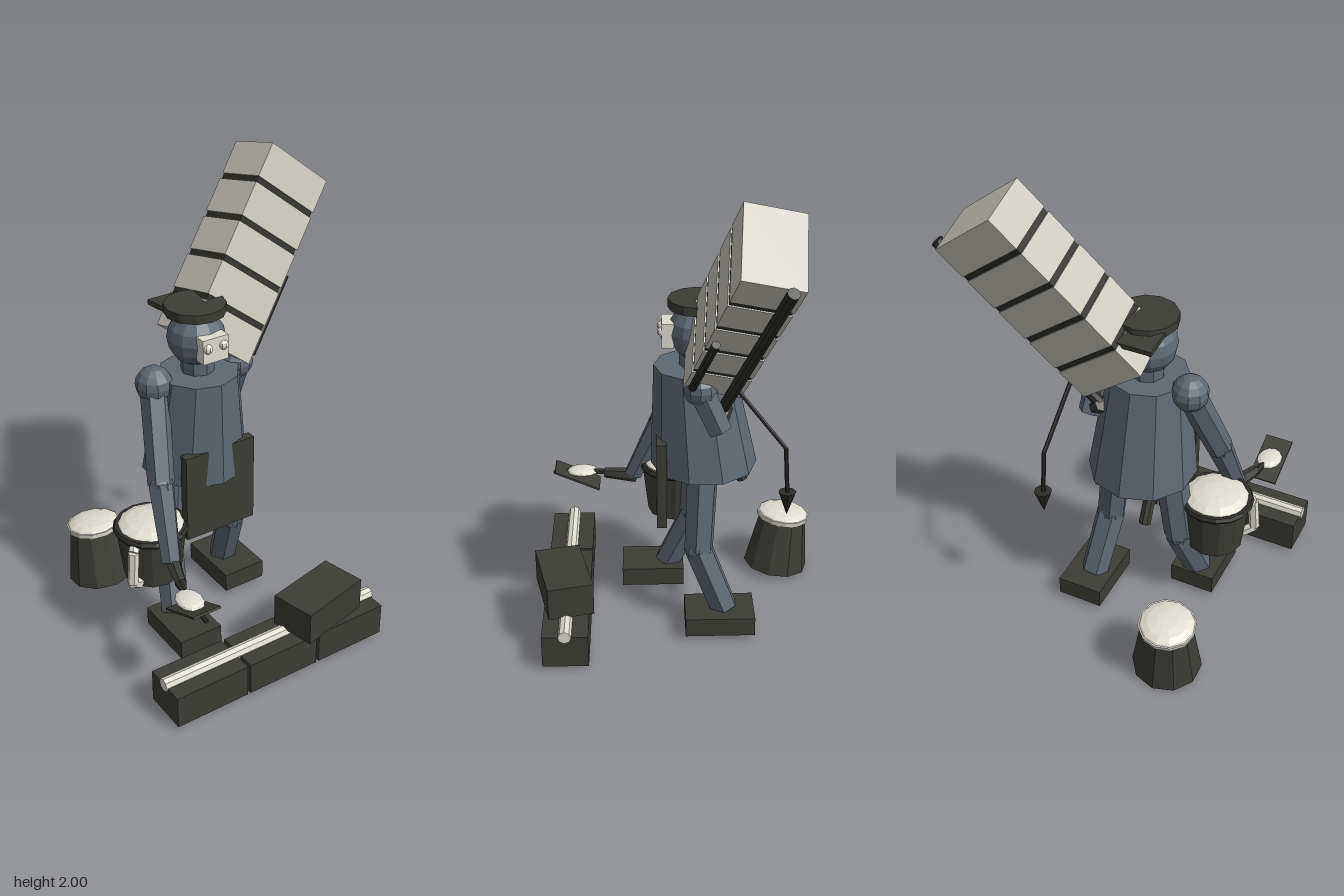
import * as THREE from 'three';

const flat = (name, color) => {
  const m = new THREE.MeshStandardMaterial({ color, flatShading: true });
  m.name = name;
  return m;
};
const slate = flat('slate cloth', 0x5f6872);
const dark = flat('dark clay', 0x3d3d37);
const black = flat('dark iron', 0x2d2d2a);
const pale = flat('pale brick', 0xcbc8be);
const cream = flat('cream mortar', 0xe0ddd2);

const V = (x, y, z) => new THREE.Vector3(x, y, z);

export function createModel() {
  const root = new THREE.Group();
  root.name = 'bricklayer';

  const add = (name, geo, mat, pos = [0, 0, 0], parent = root) => {
    const mesh = new THREE.Mesh(geo, mat);
    mesh.name = name;
    mesh.position.set(...pos);
    parent.add(mesh);
    return mesh;
  };
  const box = (name, mat, size, pos, parent) =>
    add(name, new THREE.BoxGeometry(...size), mat, pos, parent);
  const ball = (name, mat, r, pos, parent, w = 12, h = 8) =>
    add(name, new THREE.SphereGeometry(r, w, h), mat, pos, parent);
  // Tapered rod between two points
  const rod = (name, mat, a, b, ra, rb = ra, sides = 6, parent = root) => {
    const p = V(...a), q = V(...b), dir = q.clone().sub(p);
    const mesh = add(name, new THREE.CylinderGeometry(rb, ra, dir.length(), sides), mat,
      p.clone().add(q).multiplyScalar(0.5).toArray(), parent);
    mesh.quaternion.setFromUnitVectors(V(0, 1, 0), dir.normalize());
    return mesh;
  };
  // Jointed limb with a ball in the bend
  const limb = (name, points, radii) => {
    const g = new THREE.Group();
    g.name = name;
    for (let i = 0; i + 1 < points.length; i++) {
      rod(name + 'Segment', slate, points[i], points[i + 1], radii[i], radii[i + 1], 6, g);
      if (i) ball(name + 'Joint', slate, radii[i] * 0.97, points[i], g, 8, 6);
    }
    root.add(g);
  };

  // Wall course, mortar bead and the brick being laid
  for (let i = 0; i < 3; i++)
    box('wallBrick', dark, [0.333, 0.145, 0.195], [-0.467 + i * 0.347, 0.094, 0.48]);
  rod('mortarBead', cream, [-0.64, 0.17, 0.48], [0.402, 0.17, 0.48], 0.028, 0.028, 8);
  box('laidBrick', dark, [0.328, 0.145, 0.195], [0.113, 0.258, 0.491]).rotation.y = 0.222;

  // Legs and feet
  limb('rightLeg', [[-0.22, 0.8, -0.11], [-0.265, 0.38, -0.085], [-0.31, 0.1, 0.035]], [0.07, 0.065, 0.062]);
  limb('leftLeg', [[0.01, 0.8, -0.11], [0.06, 0.38, -0.09], [0.09, 0.1, -0.2]], [0.07, 0.065, 0.062]);
  box('rightFoot', dark, [0.2, 0.085, 0.28], [-0.31, 0.065, 0.105]);
  box('leftFoot', dark, [0.2, 0.085, 0.3], [0.1, 0.065, -0.18]);

  // Coat: tapered ten-sided barrel, sheared a little forward at the top
  const coat = new THREE.CylinderGeometry(0.168, 0.228, 0.455, 10);
  const cp = coat.attributes.position;
  for (let i = 0; i < cp.count; i++) cp.setZ(i, cp.getZ(i) + cp.getY(i) * 0.1);
  add('coat', coat, slate, [-0.105, 0.948, -0.094]);
  box('apron', dark, [0.333, 0.395, 0.042], [-0.105, 0.683, 0.067]);
  rod('pocketTool', dark, [-0.2, 0.8, -0.2], [-0.2, 0.58, -0.295], 0.026, 0.026, 8);

  // Head, face and cap
  rod('neck', slate, [-0.105, 1.15, -0.08], [-0.105, 1.24, -0.08], 0.07, 0.07, 8);
  ball('head', slate, 0.12, [-0.108, 1.325, -0.083]);
  box('face', cream, [0.118, 0.105, 0.05], [-0.108, 1.322, 0.037]);
  for (const s of [-1, 1]) ball('eye', cream, 0.021, [-0.108 + s * 0.037, 1.335, 0.06], root, 8, 6);
  rod('cap', dark, [-0.107, 1.43, -0.09], [-0.107, 1.468, -0.09], 0.127, 0.127, 12);
  box('capPeak', dark, [0.21, 0.022, 0.18], [-0.108, 1.435, -0.19]).rotation.x = -0.12;

  // Arms and glove
  ball('rightShoulder', slate, 0.078, [-0.3, 1.155, -0.1], root, 10, 8);
  ball('leftShoulder', slate, 0.072, [0.09, 1.15, -0.09], root, 10, 8);
  limb('rightArm', [[-0.3, 1.15, -0.1], [-0.375, 0.79, 0.06], [-0.415, 0.5, 0.19]], [0.06, 0.056, 0.042]);
  limb('leftArm', [[0.09, 1.15, -0.09], [0.105, 0.97, -0.17]], [0.06, 0.055]);
  rod('leftGlove', dark, [0.1, 0.99, -0.165], [0.04, 1.05, -0.2], 0.035, 0.03);
  rod('rightGlove', dark, [-0.405, 0.495, 0.18], [-0.45, 0.485, 0.32], 0.034, 0.024);

  // Trowel with a dab of mortar
  rod('trowelHandle', black, [-0.458, 0.487, 0.31], [-0.484, 0.472, 0.56], 0.015, 0.01);
  box('trowelBlade', dark, [0.125, 0.009, 0.222], [-0.475, 0.46, 0.449]).rotation.x = -0.42;
  ball('mortarDab', cream, 1, [-0.476, 0.483, 0.425]).scale.set(0.055, 0.02, 0.072);

  // Hod: five bricks stacked along a leaning axis, carried on two poles
  const hod = new THREE.Group();
  hod.name = 'hod';
  hod.position.set(0.481, 1.87, -0.329);
  const across = V(0.785, -0.614, 0.078).normalize();
  const along = V(0.615, 0.7585, -0.214).normalize();
  const depth = across.clone().cross(along).normalize();
  hod.quaternion.setFromRotationMatrix(
    new THREE.Matrix4().makeBasis(across, depth.clone().cross(across), depth));
  for (let i = 0; i < 5; i++) {
    box('hodBrick', pale, [0.333, 0.147, 0.242], [0, -0.0735 - i * 0.172, 0], hod);
    if (i < 4) box('hodSpacer', black, [0.322, 0.027, 0.232], [0, -0.1595 - i * 0.172, 0], hod);
  }
  rod('longPole', black, [0.187, -0.96, -0.067], [0.187, 0.01, -0.067], 0.025, 0.025, 8, hod);
  rod('shortPole', black, [0.18, -0.79, 0.092], [0.18, -0.43, 0.092], 0.018, 0.018, 8, hod);
  root.add(hod);

  // Plumb line with bob
  const line = [[0.15, 1.19, -0.22], [0.18, 0.92, -0.435], [0.187, 0.71, -0.447]];
  for (let i = 0; i < 2; i++) rod('plumbLine', black, line[i], line[i + 1], 0.009);
  rod('plumbBob', black, [0.187, 0.62, -0.447], [0.187, 0.725, -0.447], 0.001, 0.037, 8);

  // Mortar bucket by the hand, with a pale bail handle
  rod('bucket', dark, [-0.395, 0.33, 0], [-0.395, 0.56, 0], 0.122, 0.148, 12);
  const rim = add('bucketRim', new THREE.TorusGeometry(0.145, 0.016, 6, 16), black, [-0.395, 0.56, 0]);
  rim.rotation.x = Math.PI / 2;
  ball('bucketMortar', cream, 1, [-0.395, 0.56, 0]).scale.set(0.147, 0.046, 0.147);
  const bail = [[-0.5, 0.555, 0.06], [-0.53, 0.525, 0.085], [-0.542, 0.38, 0.09], [-0.5, 0.35, 0.07]];
  for (let i = 0; i < 3; i++) rod('bucketHandle', cream, bail[i], bail[i + 1], 0.023);

  // Upturned tub on the ground behind, tipped slightly
  const tub = new THREE.Group();
  tub.name = 'groundTub';
  tub.position.set(-0.397, 0.02, -0.477);
  tub.rotation.set(-0.12, 0, 0.04);
  rod('tubBody', dark, [0, 0, 0], [0, 0.255, 0], 0.148, 0.108, 10, tub);
  rod('tubBand', cream, [0, 0.245, 0], [0, 0.268, 0], 0.118, 0.122, 12, tub);
  ball('tubMortar', cream, 1, [0, 0.262, 0], tub).scale.set(0.12, 0.033, 0.12);
  root.add(tub);

  return root;
}
